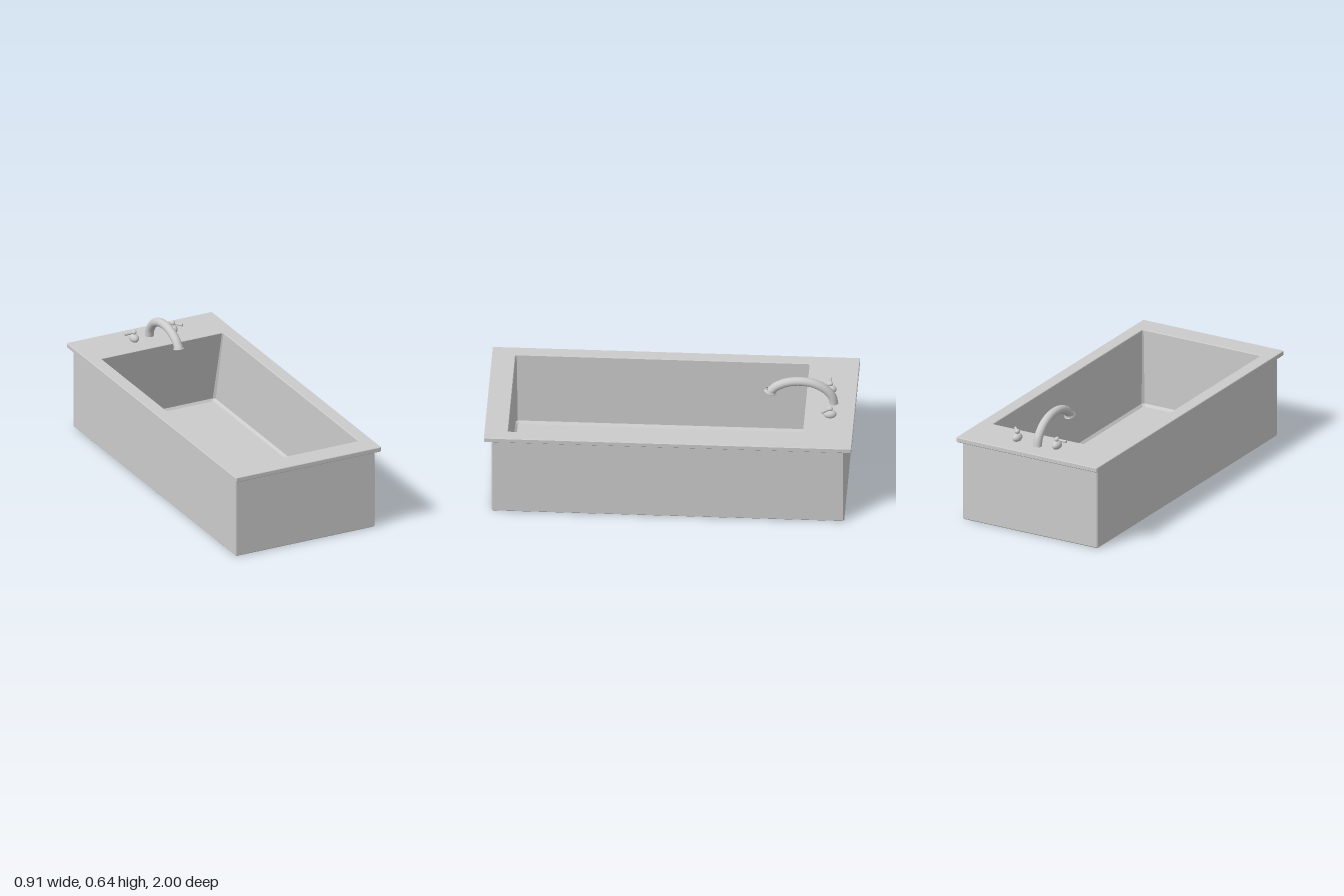
import * as THREE from 'three';

const smooth = new THREE.MeshStandardMaterial({ color: 0xcccccc, side: THREE.DoubleSide });
const flat = new THREE.MeshStandardMaterial({ color: 0xcccccc, flatShading: true });

function add(parent, name, geometry, material = smooth) {
  const mesh = new THREE.Mesh(geometry, material);
  mesh.name = name;
  parent.add(mesh);
  return mesh;
}

// Rectangle with cut corners, anticlockwise from above
function ring([y, hx, z0, z1, c = 0]) {
  return [
    [-hx + c, z1], [hx - c, z1], [hx, z1 - c], [hx, z0 + c],
    [hx - c, z0], [-hx + c, z0], [-hx, z0 + c], [-hx, z1 - c],
  ].map(([x, z]) => [x, y, z]);
}

// Skin through a list of rectangular rings
function loft(sections) {
  const rings = sections.map(ring);
  const index = [];
  for (let i = 0; i < rings.length - 1; i++) {
    for (let j = 0; j < 8; j++) {
      const a = i * 8 + j, b = i * 8 + (j + 1) % 8;
      index.push(a, b, b + 8, a, b + 8, a + 8);
    }
  }
  const g = new THREE.BufferGeometry();
  g.setAttribute('position', new THREE.Float32BufferAttribute(rings.flat(2), 3));
  g.setIndex(index);
  const out = g.toNonIndexed();
  out.computeVertexNormals();
  return out;
}

// Tap handle: domed base, small ball and a tapered lever turned by angle
function tapHandle(name, x, z, angle) {
  const g = new THREE.Group();
  g.name = name;
  const base = add(g, 'handleBase', new THREE.SphereGeometry(0.024, 24, 16));
  base.position.y = 0.503;
  base.scale.z = 1.5;
  const ball = add(g, 'handleBall', new THREE.SphereGeometry(0.013, 20, 12));
  ball.position.y = 0.537;
  ball.scale.z = 1.3;
  const arm = new THREE.CylinderGeometry(0.008, 0.005, 0.058, 16);
  arm.rotateZ(-Math.PI / 2);
  arm.translate(0.029, 0.534, 0);
  add(g, 'handleLever', arm).rotation.y = angle;
  g.position.set(x, 0, z);
  return g;
}

export function createModel() {
  const tub = new THREE.Group();
  tub.name = 'bathtub';

  // Outer box with fine bevels
  add(tub, 'body', loft([
    [0, 0, 0, 0], [0, 0.419, -0.95, 0.95, 0.004],
    [0.005, 0.424, -0.955, 0.955, 0.006], [0.452, 0.424, -0.955, 0.955, 0.006],
    [0.458, 0.418, -0.949, 0.949, 0.004],
  ]), flat);

  // Overhanging rim with an off-centre opening
  add(tub, 'rim', loft([
    [0.456, 0.41, -0.94, 0.94], [0.457, 0.438, -0.99, 0.99, 0.004],
    [0.461, 0.4425, -0.9945, 0.9945, 0.005], [0.482, 0.4425, -0.9945, 0.9945, 0.005],
    [0.485, 0.4395, -0.9915, 0.9915, 0.004], [0.485, 0.373, -0.728, 0.87, 0.003],
    [0.482, 0.37, -0.725, 0.867, 0.003],
  ]), flat);

  // Cavity whose tap-end wall leans back beneath the deck
  add(tub, 'basin', loft([
    [0.482, 0.37, -0.725, 0.867, 0.006], [0.058, 0.37, -0.822, 0.867, 0.012],
    [0.045, 0.357, -0.812, 0.854, 0.008], [0.045, 0, 0, 0],
  ]), flat);

  // Arched spout
  const path = new THREE.CatmullRomCurve3([
    [0.475, -0.878], [0.53, -0.865], [0.577, -0.825], [0.61, -0.76],
    [0.619, -0.69], [0.609, -0.62], [0.58, -0.562], [0.552, -0.535],
  ].map(([y, z]) => new THREE.Vector3(0, y, z)));
  const faucet = new THREE.Group();
  faucet.name = 'faucet';
  add(faucet, 'spout', new THREE.TubeGeometry(path, 48, 0.024, 24));

  // Flared, tilted mouth
  const mouth = new THREE.Group();
  mouth.name = 'spoutMouth';
  add(mouth, 'mouthCollar', new THREE.CylinderGeometry(0.023, 0.027, 0.018, 28, 1, true)).position.y = 0.008;
  add(mouth, 'mouthLip', new THREE.TorusGeometry(0.0255, 0.0035, 10, 28).rotateX(Math.PI / 2));
  mouth.position.set(0, 0.544, -0.532);
  mouth.rotation.x = -0.28;
  mouth.scale.z = 1.22;
  faucet.add(mouth);

  faucet.add(tapHandle('rightHandle', -0.107, -0.85, Math.PI));
  faucet.add(tapHandle('leftHandle', 0.134, -0.862, -0.85));
  tub.add(faucet);

  // The tub sits very slightly turned
  tub.rotation.y = -0.012;
  const model = new THREE.Group();
  model.name = 'model';
  model.add(tub);
  return model;
}
